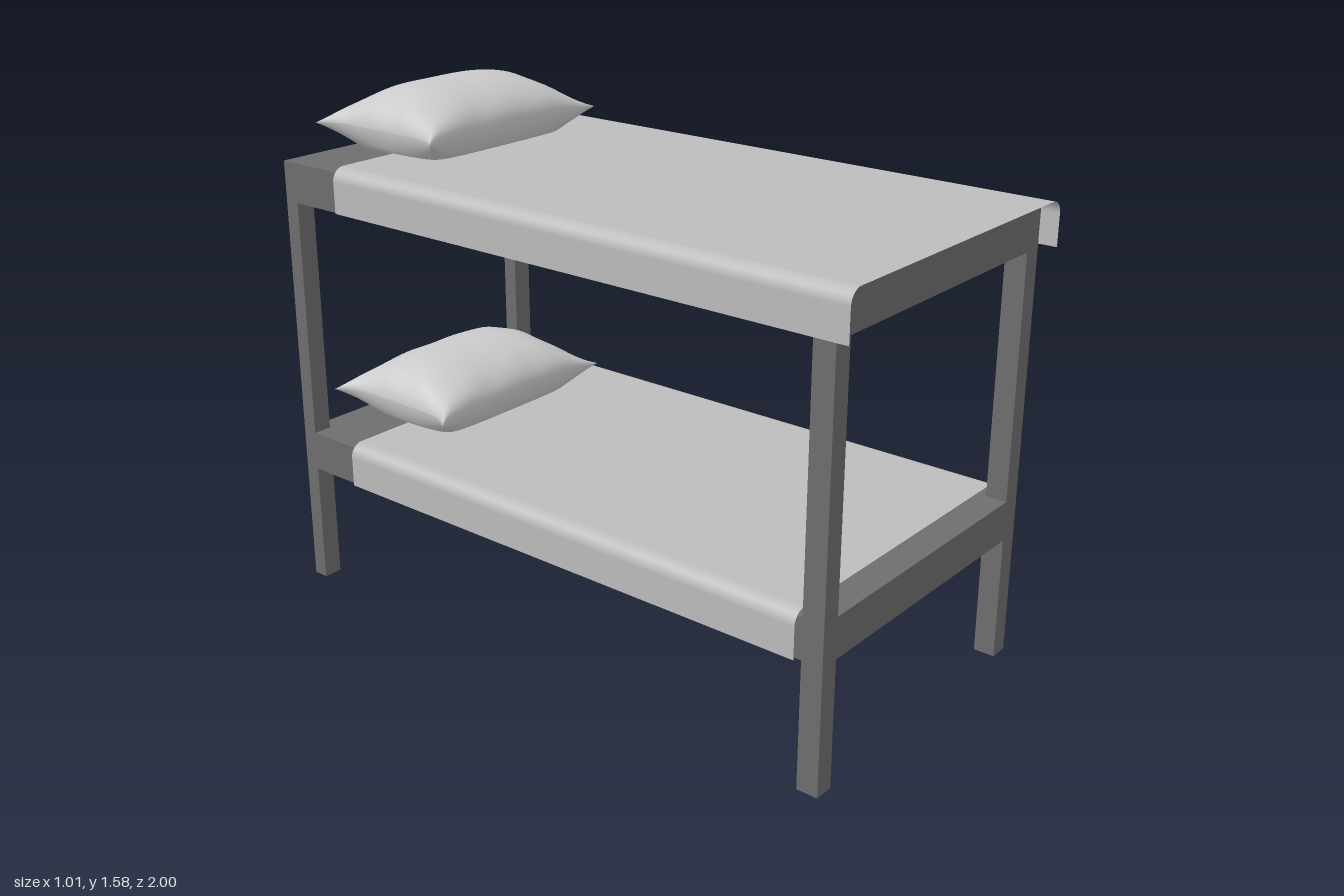
import * as THREE from 'three';

const frameMat = new THREE.MeshStandardMaterial({ color: 0x6e6e6e });
frameMat.name = 'frame grey';
const sheetMat = new THREE.MeshStandardMaterial({ color: 0xbcbcbc, side: THREE.DoubleSide });
sheetMat.name = 'sheet light grey';
const pillowMat = new THREE.MeshStandardMaterial({ color: 0xcacaca });
pillowMat.name = 'pillow pale grey';

// Box given by its min and max corners
function box(name, [x0, y0, z0], [x1, y1, z1]) {
  const geo = new THREE.BoxGeometry(x1 - x0, y1 - y0, z1 - z0);
  geo.translate((x0 + x1) / 2, (y0 + y1) / 2, (z0 + z1) / 2);
  const mesh = new THREE.Mesh(geo, frameMat);
  mesh.name = name;
  return mesh;
}

// Open thin sheet: a rounded cross-section swept along z, hanging over both sides
function makeSheet(yBottom, yTop, z0, z1) {
  const w = 0.503, r = 0.04, steps = 8;
  const section = [[w, yBottom, 1, 0]];
  for (let i = 0; i <= steps; i++) {
    const a = (i / steps) * Math.PI / 2, c = Math.cos(a), s = Math.sin(a);
    section.push([w - r + r * c, yTop - r + r * s, c, s]);
  }
  const full = [...section, ...section.slice().reverse().map(([x, y, nx, ny]) => [-x, y, -nx, ny])];
  const pos = [], nor = [], idx = [];
  full.forEach(([x, y, nx, ny], i) => {
    pos.push(x, y, z0, x, y, z1);
    nor.push(nx, ny, 0, nx, ny, 0);
    if (i < full.length - 1) {
      const a = i * 2;
      idx.push(a, a + 2, a + 1, a + 1, a + 2, a + 3);
    }
  });
  const geo = new THREE.BufferGeometry();
  geo.setAttribute('position', new THREE.Float32BufferAttribute(pos, 3));
  geo.setAttribute('normal', new THREE.Float32BufferAttribute(nor, 3));
  geo.setIndex(idx);
  return new THREE.Mesh(geo, sheetMat);
}

// One half of a pillow: a grid puffed up from a seam with pinched, pointed corners
function pillowHalf(up) {
  const n = 40;
  const geo = new THREE.PlaneGeometry(2, 2, n, n);
  geo.rotateX(up ? -Math.PI / 2 : Math.PI / 2);
  const p = geo.attributes.position;
  for (let i = 0; i < p.count; i++) {
    const u = Math.sin(p.getX(i) * Math.PI / 2), v = Math.sin(p.getZ(i) * Math.PI / 2);
    const x = u * 0.352 * (1 - 0.13 * (1 - v ** 6));
    const z = v * 0.2425 * (1 - 0.12 * (1 - u ** 6));
    const pu = Math.max(0, 1 - u ** 4), pv = Math.max(0, 1 - v * v);
    const puff = pu ** 0.6 * pv ** 0.5;
    // soft creases running in from the seams
    const crease = 0.007 * puff * (u ** 4 * Math.sin(v * 9 + u * 2) + v ** 4 * Math.sin(u * 11 + v));
    const y = up ? 0.115 * puff + crease : -Math.min(0.075, 0.15 * puff);
    p.setXYZ(i, x, y, z);
  }
  geo.computeVertexNormals();
  return new THREE.Mesh(geo, pillowMat);
}

function makePillow(name, y) {
  const pillow = new THREE.Group();
  pillow.name = name;
  const top = pillowHalf(true), bottom = pillowHalf(false);
  top.name = 'pillowTop';
  bottom.name = 'pillowBottom';
  pillow.add(top, bottom);
  pillow.position.set(0.012, y, -0.757);
  return pillow;
}

export function createModel() {
  const bed = new THREE.Group();
  bed.name = 'bunkBed';

  // Corner posts; one rear foot reaches slightly lower
  const top = 1.3;
  bed.add(
    box('frontLeftPost', [0.425, 0.03, 0.89], [0.484, top, 0.954]),
    box('frontRightPost', [-0.484, 0.03, 0.89], [-0.425, top, 0.954]),
    box('backLeftPost', [0.417, 0, -0.978], [0.484, top, -0.93]),
    box('backRightPost', [-0.484, 0.03, -0.978], [-0.425, top, -0.93]),
  );

  // Two bunks: deck, draped sheet and pillow
  const bunks = [
    { name: 'lower', y: 0.405, sheetFront: 0.88 },
    { name: 'upper', y: 1.255, sheetFront: 1 },
  ];
  for (const { name, y, sheetFront } of bunks) {
    bed.add(box(`${name}Deck`, [-0.484, y, -0.978], [0.484, y + 0.12, 0.954]));
    const sheet = makeSheet(y + 0.005, y + 0.138, -0.74, sheetFront);
    sheet.name = `${name}Sheet`;
    bed.add(sheet, makePillow(`${name}Pillow`, y + 0.205));
  }
  return bed;
}
